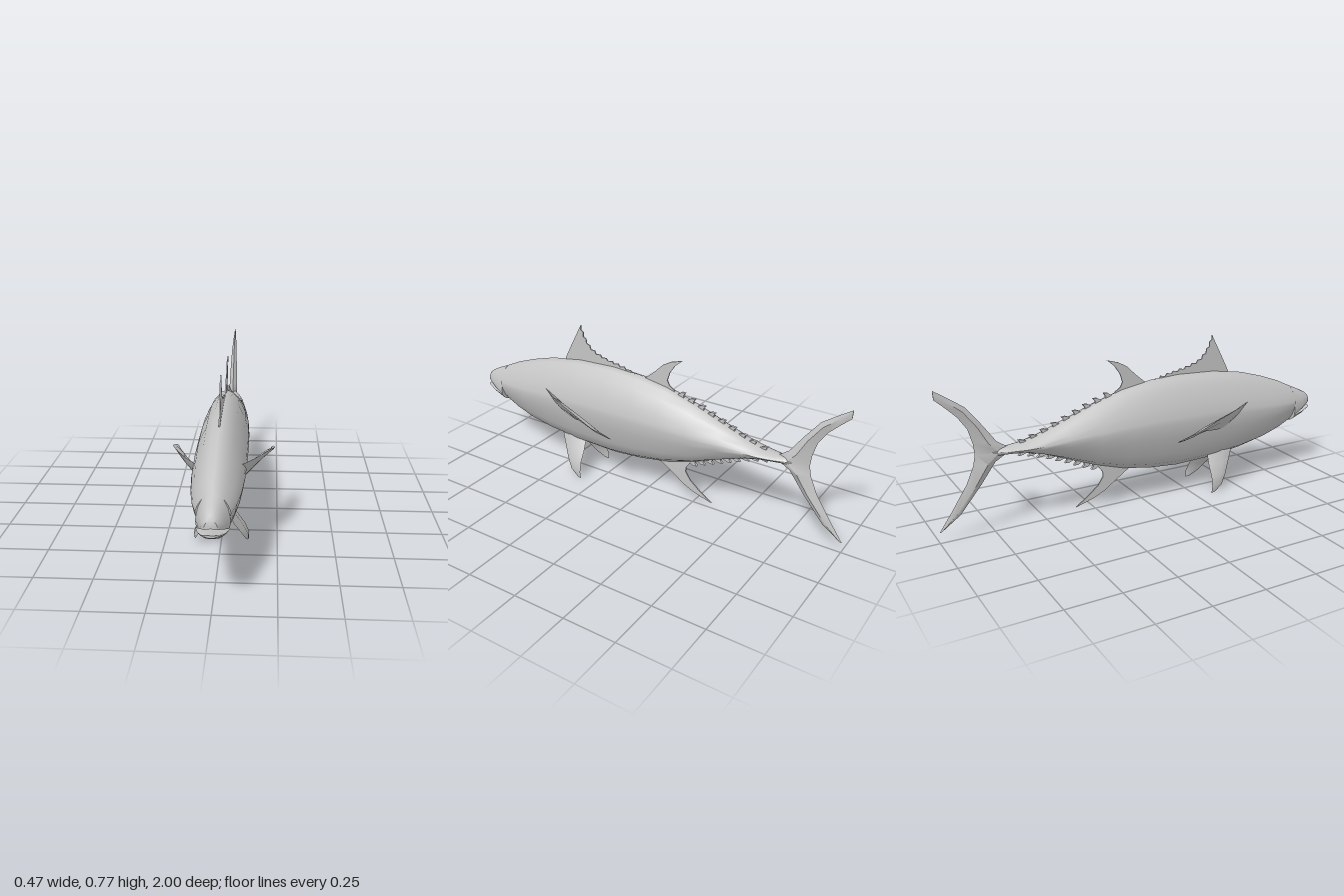
import * as THREE from 'three';
import { toCreasedNormals } from 'three/addons/utils/BufferGeometryUtils.js';

const skin = new THREE.MeshStandardMaterial({ color: 0xc4c4c4, side: THREE.DoubleSide });
skin.name = 'grey skin';

// Body stations: z, top, bottom, half width
const STATIONS = [
  [0.88, 0.45, 0.262, 0.068], [0.8, 0.488, 0.225, 0.088], [0.7, 0.525, 0.19, 0.102],
  [0.57, 0.563, 0.163, 0.111], [0.4, 0.592, 0.143, 0.115], [0.2, 0.602, 0.137, 0.115],
  [0.05, 0.594, 0.15, 0.113], [-0.1, 0.57, 0.176, 0.107], [-0.25, 0.524, 0.222, 0.096],
  [-0.4, 0.468, 0.283, 0.08], [-0.52, 0.423, 0.33, 0.066], [-0.6, 0.4, 0.352, 0.056],
  [-0.66, 0.394, 0.358, 0.043], [-0.72, 0.395, 0.358, 0.026], [-0.76, 0.39, 0.365, 0.012],
];
// Half cross-sections from the top centre to the bottom centre: x share, height share
const BODY = [[0, 1], [0.26, 0.97], [0.54, 0.885], [0.83, 0.73], [0.97, 0.61], [1, 0.55],
  [0.9, 0.4], [0.66, 0.2], [0.43, 0.08], [0, 0]];
const UPPER_JAW = [[0, 1], [0.3, 0.96], [0.58, 0.83], [0.85, 0.55], [1, 0.2], [0.94, 0], [0, 0.1]];
const LOWER_JAW = [[0, 0.9], [0.9, 1], [1, 0.85], [0.8, 0.45], [0.48, 0.12], [0, 0]];

// Joins closed rings of points into a capped solid, faces outward
function loft(rings, crease) {
  const n = rings[0].length, index = [];
  const pos = rings.flat(2);
  for (let i = 0; i < rings.length - 1; i++) {
    for (let j = 0; j < n; j++) {
      const a = i * n + j, b = i * n + (j + 1) % n;
      index.push(a, b, a + n, b, b + n, a + n);
    }
  }
  const end = (rings.length - 1) * n;
  for (let j = 1; j < n - 1; j++) index.push(0, j + 1, j, end, end + j, end + j + 1);
  // Signed volume tells whether the faces point inward
  let volume = 0;
  const p = (i) => new THREE.Vector3().fromArray(pos, i * 3);
  for (let k = 0; k < index.length; k += 3) {
    volume += p(index[k]).dot(p(index[k + 1]).cross(p(index[k + 2])));
  }
  if (volume < 0) index.reverse();
  const geo = new THREE.BufferGeometry();
  geo.setAttribute('position', new THREE.Float32BufferAttribute(pos, 3));
  geo.setIndex(index);
  return toCreasedNormals(geo, crease);
}

// Mirrored half section swept along stations
function hull(stations, half) {
  const full = [...half, ...half.slice(1, -1).reverse().map(([x, y]) => [-x, y])];
  return loft(stations.map(([z, top, bottom, w]) =>
    full.map(([x, y]) => [x * w, bottom + y * (top - bottom), z])), 0.95);
}

// Lens-shaped fin: rows of [leading point, trailing point, half thickness]
function foil(rows, normal, side = 1) {
  return loft(rows.map(([lead, trail, t]) => {
    const mid = (s) => lead.map((v, i) => v + (trail[i] - v) * 0.4 + normal[i] * t * s);
    return [lead, mid(1), trail, mid(-1)].map(([x, y, z]) => [x * side, y, z]);
  }), 0.8);
}

// Thin upright plate from a [z, y] outline
function plate(points, thickness) {
  const shape = new THREE.Shape(points.map(([z, y]) => new THREE.Vector2(z, y)));
  const geo = new THREE.ExtrudeGeometry(shape, { depth: thickness, bevelEnabled: false });
  return geo.translate(0, 0, -thickness / 2).rotateY(-Math.PI / 2);
}

// Height of the back (column 1) or belly (column 2) at z
function edgeAt(z, column) {
  const i = Math.max(1, STATIONS.findIndex((s) => s[0] <= z));
  const a = STATIONS[i - 1], b = STATIONS[i];
  return a[column] + (b[column] - a[column]) * (z - a[0]) / (b[0] - a[0]);
}

export function createModel() {
  const fish = new THREE.Group();
  fish.name = 'fish';
  const add = (name, geo) => {
    const mesh = new THREE.Mesh(geo, skin);
    mesh.name = name;
    fish.add(mesh);
  };

  // Body and open mouth
  add('body', hull(STATIONS, BODY));
  add('upperJaw', hull([[0.88, 0.45, 0.305, 0.068], [0.94, 0.423, 0.328, 0.054],
    [0.985, 0.4, 0.347, 0.037], [1, 0.388, 0.352, 0.026]], UPPER_JAW));
  add('lowerJaw', hull([[0.88, 0.31, 0.262, 0.066], [0.94, 0.318, 0.286, 0.055],
    [0.985, 0.328, 0.308, 0.04], [1, 0.33, 0.318, 0.028]], LOWER_JAW));

  // Crescent tail
  const tail = [
    [-0.985, 0.055, -1, 0.05, 0.003], [-0.9, 0.115, -0.94, 0.135, 0.008],
    [-0.8, 0.235, -0.865, 0.25, 0.014], [-0.73, 0.33, -0.83, 0.33, 0.019],
    [-0.65, 0.376, -0.82, 0.38, 0.022], [-0.72, 0.425, -0.825, 0.43, 0.02],
    [-0.78, 0.51, -0.845, 0.5, 0.017], [-0.85, 0.6, -0.885, 0.56, 0.013],
    [-0.92, 0.65, -0.935, 0.61, 0.008], [-0.98, 0.69, -0.978, 0.65, 0.003],
  ];
  add('tailFin', foil(tail.map(([lz, ly, tz, ty, t]) => [[0, ly, lz], [0, ty, tz], t]), [1, 0, 0]));

  // Spiny first dorsal fin with a stepped rear edge
  const rear = new THREE.CatmullRomCurve3([[0.39, 0.772], [0.36, 0.705], [0.32, 0.662], [0.25, 0.636],
    [0.16, 0.618], [0.07, 0.598]].map(([z, y]) => new THREE.Vector3(0, y, z)));
  const outline = [[0.49, 0.56], [0.49, 0.582], [0.45, 0.66]];
  const teeth = 11;
  for (let i = 0; i < teeth; i++) {
    const tip = rear.getPointAt(i / teeth), dip = rear.getPointAt((i + 0.45) / teeth);
    outline.push([tip.z, tip.y], [dip.z + 0.006, dip.y - 0.009]);
  }
  outline.push([0.07, 0.595], [0.07, 0.56]);
  add('firstDorsalFin', plate(outline, 0.006));

  // Swept second dorsal and anal fins
  add('secondDorsalFin', plate([[0.03, 0.56], [0.02, 0.588], [-0.035, 0.635], [-0.075, 0.675],
    [-0.12, 0.7], [-0.178, 0.717], [-0.14, 0.685], [-0.113, 0.645], [-0.1, 0.605],
    [-0.112, 0.58], [-0.14, 0.562], [-0.14, 0.53]], 0.006));
  add('analFin', plate([[-0.06, 0.2], [-0.07, 0.172], [-0.14, 0.125], [-0.2, 0.083], [-0.26, 0.055],
    [-0.352, 0.028], [-0.29, 0.07], [-0.235, 0.115], [-0.208, 0.155], [-0.21, 0.18],
    [-0.235, 0.215], [-0.235, 0.25]], 0.006));

  // Rows of small hooked finlets above and below
  const finlets = (name, start, column, dir) => {
    const count = 9, step = (start + 0.585) / (count - 1);
    for (let i = 0; i < count; i++) {
      const z = start - i * step, h = (0.026 - i * 0.0012) * dir;
      const y = (d) => edgeAt(z - d, column);
      add(name, plate([[z, y(0) - 0.012 * dir], [z, y(0)], [z - 0.02, y(0.02) + h * 0.75],
        [z - 0.04, y(0.04) + h], [z - 0.029, y(0.029) + h * 0.3],
        [z - 0.032, y(0.032) - 0.012 * dir]], 0.012));
    }
  };
  finlets('upperFinlet', -0.16, 1, 1);
  finlets('lowerFinlet', -0.23, 2, -1);

  // Paired side fins
  const pectoral = [
    [[0.095, 0.437, 0.555], [0.095, 0.325, 0.42], 0.008],
    [[0.145, 0.432, 0.47], [0.125, 0.332, 0.35], 0.012],
    [[0.185, 0.425, 0.38], [0.148, 0.345, 0.275], 0.011],
    [[0.215, 0.405, 0.27], [0.178, 0.347, 0.19], 0.009],
    [[0.235, 0.38, 0.17], [0.2, 0.34, 0.12], 0.006],
    [[0.225, 0.352, 0.075], [0.215, 0.342, 0.075], 0.002],
  ];
  const pelvic = [
    [[0.04, 0.185, 0.5], [0.04, 0.175, 0.355], 0.014],
    [[0.062, 0.13, 0.47], [0.075, 0.125, 0.345], 0.014],
    [[0.09, 0.075, 0.435], [0.105, 0.08, 0.342], 0.011],
    [[0.11, 0.03, 0.4], [0.124, 0.035, 0.335], 0.007],
    [[0.118, 0.004, 0.358], [0.122, 0, 0.332], 0.002],
  ];
  for (const [label, side] of [['left', 1], ['right', -1]]) {
    add(label + 'PectoralFin', foil(pectoral, [0.6, -0.6, 0.5], side));
    add(label + 'PelvicFin', foil(pelvic, [0.85, 0.5, 0], side));
  }
  return fish;
}
